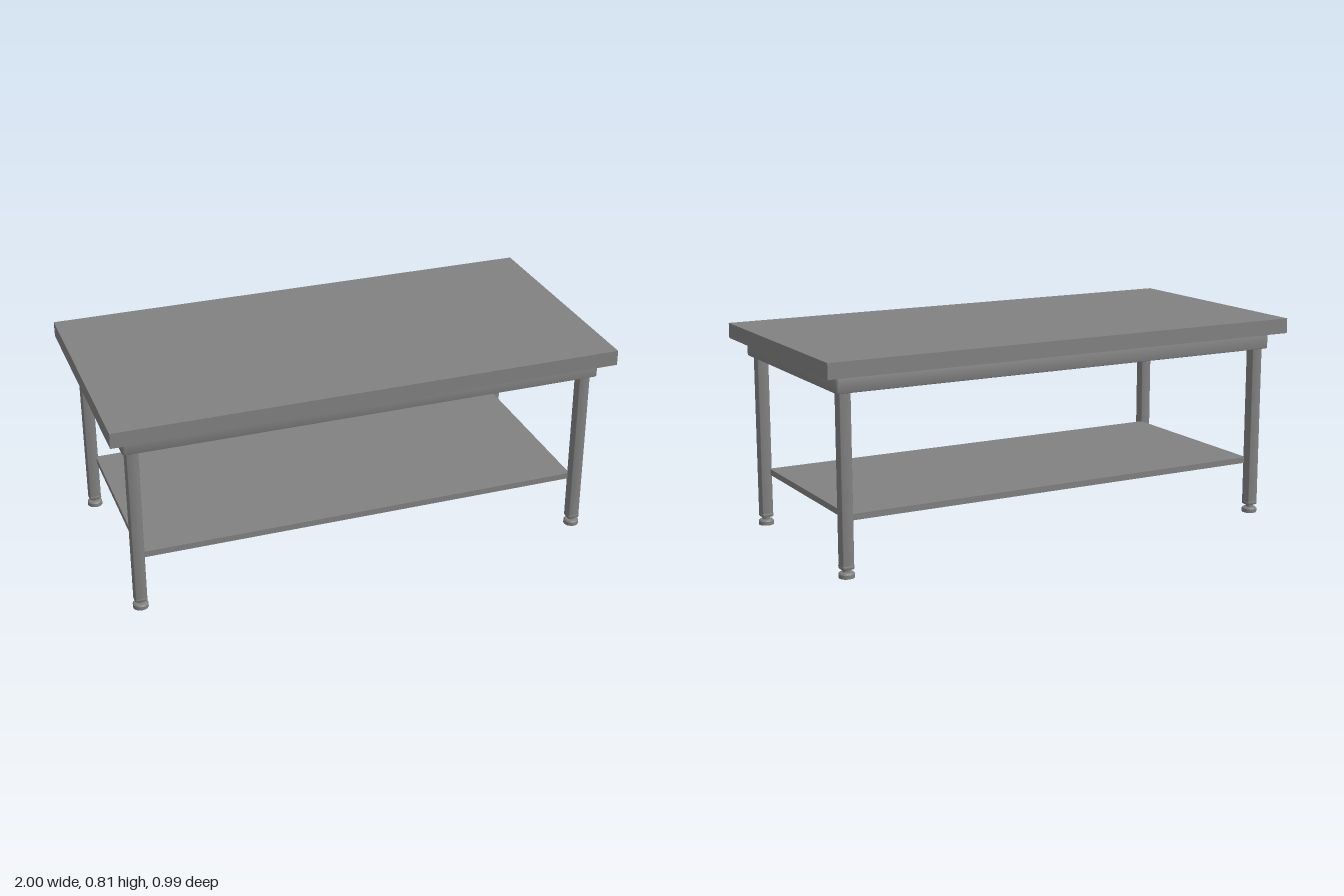
import * as THREE from 'three';
import { toCreasedNormals } from 'three/addons/utils/BufferGeometryUtils.js';

const steel = new THREE.MeshStandardMaterial({ color: 0x818181 });

// Rectangle with rounded corners, centred on the origin
function roundedRect(PathType, w, d, r) {
  const p = new PathType(), x = w / 2, y = d / 2;
  p.moveTo(-x + r, -y);
  p.lineTo(x - r, -y).absarc(x - r, -y + r, r, -Math.PI / 2, 0);
  p.lineTo(x, y - r).absarc(x - r, y - r, r, 0, Math.PI / 2);
  p.lineTo(-x + r, y).absarc(-x + r, y - r, r, Math.PI / 2, Math.PI);
  p.lineTo(-x, -y + r).absarc(-x + r, -y + r, r, Math.PI, Math.PI * 1.5);
  return p;
}

// Extrude a floor-plan shape upward from y0 to y1
function prism(shape, y0, y1, bevel = 0) {
  const g = new THREE.ExtrudeGeometry(shape, {
    depth: y1 - y0 - 2 * bevel, curveSegments: 5, bevelEnabled: bevel > 0,
    bevelSize: bevel, bevelThickness: bevel, bevelOffset: -bevel, bevelSegments: 2,
  });
  return toCreasedNormals(g.rotateX(-Math.PI / 2).translate(0, y0 + bevel, 0), 0.6);
}

function slab(w, d, y0, y1) {
  return new THREE.BoxGeometry(w, y1 - y0, d).translate(0, (y0 + y1) / 2, 0);
}

function add(parent, name, geometry) {
  const mesh = new THREE.Mesh(geometry, steel);
  mesh.name = name;
  parent.add(mesh);
  return mesh;
}

export function createModel() {
  const table = new THREE.Group();
  table.name = 'workTable';
  const baseZ = -0.005; // the legs and shelf sit slightly towards the back

  // Tabletop and lower shelf
  add(table, 'tabletop', slab(2, 0.987, 0.753, 0.813));
  add(table, 'lowerShelf', slab(1.782, 0.774, 0.206, 0.23)).position.z = baseZ;

  // Open frame under the top, centred over the legs
  const frame = roundedRect(THREE.Shape, 1.896, 0.89, 0.015);
  frame.holes.push(roundedRect(THREE.Path, 1.724, 0.712, 0.004));
  add(table, 'apronFrame', prism(frame, 0.688, 0.753, 0.003)).position.z = -0.001;

  // Square tube leg, end cap and levelling foot
  const legGeo = prism(roundedRect(THREE.Shape, 0.048, 0.048, 0.01), 0.04, 0.692);
  const capGeo = prism(roundedRect(THREE.Shape, 0.05, 0.05, 0.011), 0.032, 0.051, 0.006);
  const footProfile = [
    [0, 0], [0.03, 0], [0.03, 0], [0.03, 0.015], [0.03, 0.015], [0.026, 0.02],
    [0.026, 0.02], [0.015, 0.022], [0.015, 0.022], [0.015, 0.036],
  ].map(([r, y]) => new THREE.Vector2(r, y));
  const footGeo = new THREE.LatheGeometry(footProfile, 28);

  for (const sx of [-1, 1]) {
    for (const sz of [-1, 1]) {
      const leg = new THREE.Group();
      leg.name = (sz > 0 ? 'front' : 'back') + (sx > 0 ? 'Left' : 'Right') + 'Leg';
      add(leg, 'legTube', legGeo);
      add(leg, 'legCap', capGeo);
      add(leg, 'levellingFoot', footGeo);
      leg.position.set(sx * 0.907, 0, sz * 0.4 + baseZ);
      table.add(leg);
    }
  }
  return table;
}
